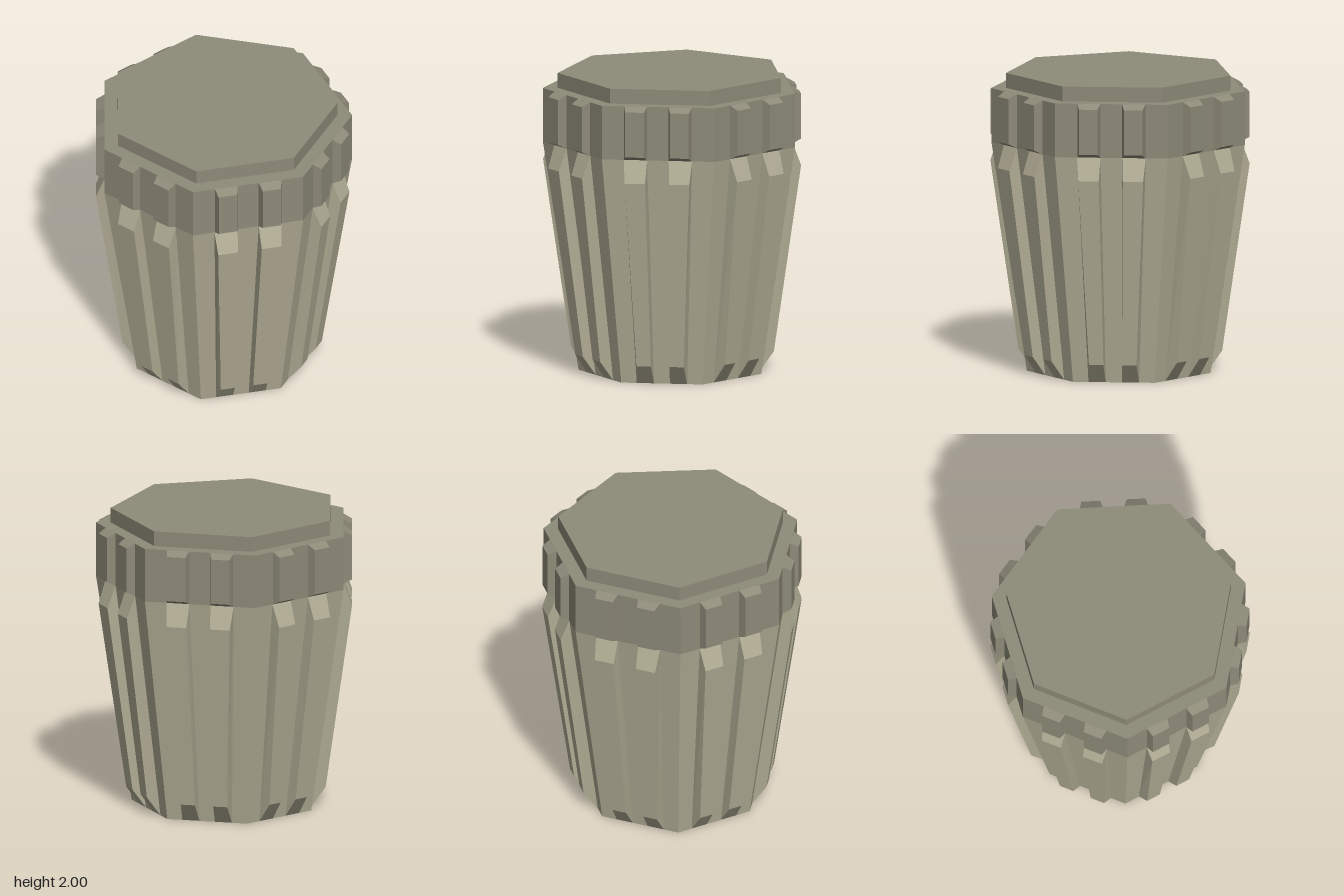
import * as THREE from 'three';

const SIDES = 7;

// Seven-sided shell from a [radius, height] profile, one corner pointing to the back
function shell(name, profile, material) {
  const points = profile.map(([r, y]) => new THREE.Vector2(r, y));
  const mesh = new THREE.Mesh(new THREE.LatheGeometry(points, SIDES, Math.PI), material);
  mesh.name = name;
  return mesh;
}

// Tapered block: each corner row gives [y, z, nearX, farX] at its bottom and top,
// for the root lying on the wall and for the raised outer face
function ribGeometry(root, outer, mirror) {
  const geometry = new THREE.BoxGeometry(1, 1, 1);
  const p = geometry.attributes.position;
  for (let i = 0; i < p.count; i++) {
    const rows = p.getZ(i) > 0 ? outer : root;
    const [y, z, near, far] = rows[p.getY(i) > 0 ? 1 : 0];
    const x = mirror ? (p.getX(i) > 0 ? -near : -far) : (p.getX(i) > 0 ? far : near);
    p.setXYZ(i, x, y, z);
  }
  geometry.computeVertexNormals();
  return geometry;
}

// A mirrored pair of ribs on every side
function ribs(name, root, outer, material) {
  const group = new THREE.Group();
  group.name = name;
  for (const mirror of [false, true]) {
    const geometry = ribGeometry(root, outer, mirror);
    for (let k = 0; k < SIDES; k++) {
      const rib = new THREE.Mesh(geometry, material);
      rib.name = name.slice(0, -1);
      rib.rotation.y = (k / SIDES) * Math.PI * 2;
      group.add(rib);
    }
  }
  return group;
}

export function createModel() {
  const bodyMaterial = new THREE.MeshStandardMaterial({ color: 0xb0ac94, flatShading: true });
  const lidMaterial = new THREE.MeshStandardMaterial({ color: 0x8e8b79, flatShading: true });
  const model = new THREE.Group();
  model.name = 'liddedCup';

  // Tapered cup with a recessed base
  model.add(shell('body', [[0, 0.1], [0.53, 0.1], [0.53, 0], [0.625, 0], [0.862, 1.54]], bodyMaterial));
  model.add(ribs('bodyRibs',
    [[0, 0.563, 0.053, 0.168], [1.54, 0.777, 0.072, 0.228]],
    [[0.13, 0.658, 0.062, 0.158], [1.39, 0.833, 0.08, 0.215]], bodyMaterial));

  // Straight band with a smaller raised top
  model.add(shell('lid', [[0.862, 1.54], [0.862, 1.9], [0.764, 1.9], [0.764, 2], [0, 2]], lidMaterial));
  model.add(ribs('lidRibs',
    [[1.54, 0.777, 0.072, 0.225], [1.9, 0.777, 0.072, 0.225]],
    [[1.567, 0.833, 0.087, 0.212], [1.87, 0.833, 0.087, 0.212]], lidMaterial));

  // Centre front to back
  for (const part of model.children) part.position.z = 0.013;
  return model;
}
